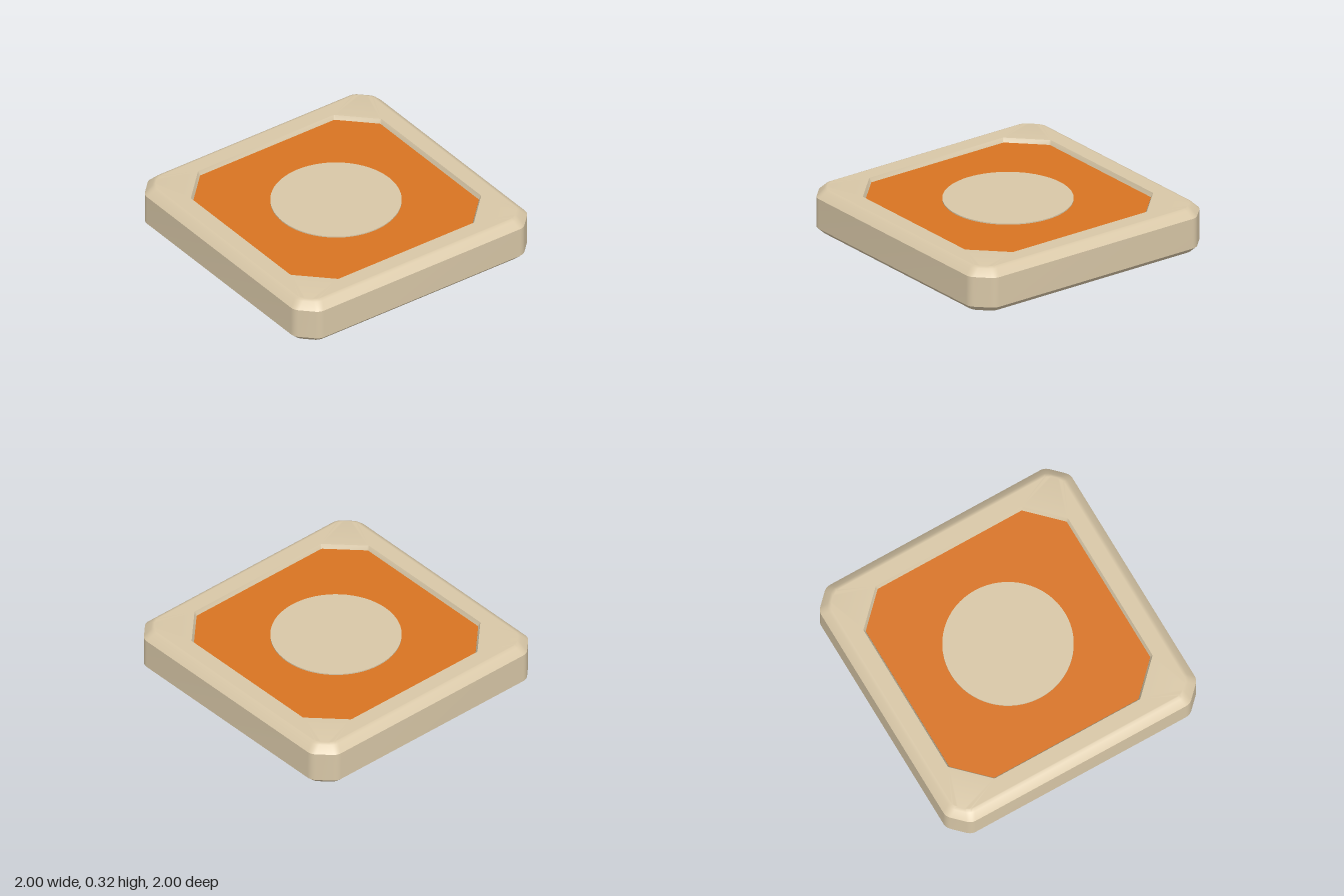
import * as THREE from 'three';
import { toCreasedNormals } from 'three/addons/utils/BufferGeometryUtils.js';

const STEPS = 6; // segments per softened outline corner

// Square outline with cut corners; each of its eight corners is softened slightly
function outline(half, cut, soft) {
  const inner = half - cut;
  const corners = [];
  for (let q = 0; q < 4; q++) {
    const c = Math.round(Math.cos(q * Math.PI / 2)), s = Math.round(Math.sin(q * Math.PI / 2));
    for (const [x, z] of [[half, inner], [inner, half]]) {
      corners.push(new THREE.Vector2(x * c - z * s, x * s + z * c));
    }
  }
  return corners.flatMap((p, i) => {
    const toward = (k) => corners[(i + k + 8) % 8].clone().sub(p).setLength(soft).add(p);
    return new THREE.QuadraticBezierCurve(toward(-1), p, toward(1)).getPoints(STEPS);
  });
}

// Joins outlines at rising heights; a ring with half = 0 closes to a centre point
function loft(rings) {
  const pos = [];
  const loops = rings.map(([half, y, cut, soft]) => half === 0
    ? Array.from({ length: 8 * (STEPS + 1) }, () => [0, y, 0])
    : outline(half, cut, soft).map((p) => [p.x, y, p.y]));
  for (let i = 0; i < loops.length - 1; i++) {
    const lo = loops[i], hi = loops[i + 1];
    for (let j = 0; j < lo.length; j++) {
      const k = (j + 1) % lo.length;
      if (rings[i + 1][0] !== 0) pos.push(...lo[k], ...hi[j], ...hi[k]);
      if (rings[i][0] !== 0) pos.push(...lo[j], ...hi[j], ...lo[k]);
    }
  }
  const geo = new THREE.BufferGeometry();
  geo.setAttribute('position', new THREE.Float32BufferAttribute(pos, 3));
  return toCreasedNormals(geo, 0.5);
}

export function createModel() {
  const group = new THREE.Group();
  const tan = new THREE.MeshStandardMaterial({ name: 'tan', color: 0xd8c7a7 });
  const orange = new THREE.MeshStandardMaterial({ name: 'orange', color: 0xd87422 });
  const add = (name, geo, mat) => {
    const mesh = new THREE.Mesh(geo, mat);
    mesh.name = name;
    group.add(mesh);
    return mesh;
  };

  // Parallel insets keep the cut corners' proportions
  const outer = (half, y) => [half, y, 0.13 - 0.586 * (1 - half), 0.035];
  const recess = (half, y) => [half, y, 0.235 - 0.586 * (0.815 - half), 0.008];

  // Slab: bevelled foot, straight sides, softened top bevel, shallow recess
  add('slab', loft([
    [0, 0],
    outer(0.96, 0), outer(1, 0.04), outer(1, 0.262),
    outer(0.952, 0.31), outer(0.932, 0.32), outer(0.925, 0.32),
    recess(0.815, 0.32), recess(0.8, 0.287),
    [0, 0.28],
  ]), tan);

  // Coloured panel lying in the recess
  add('panel', loft([recess(0.8, 0.283), recess(0.8, 0.29), [0, 0.29]]), orange);

  // Round pad in the middle
  add('centrePad', new THREE.CylinderGeometry(0.453, 0.453, 0.015, 64), tan).position.y = 0.2905;

  return group;
}
